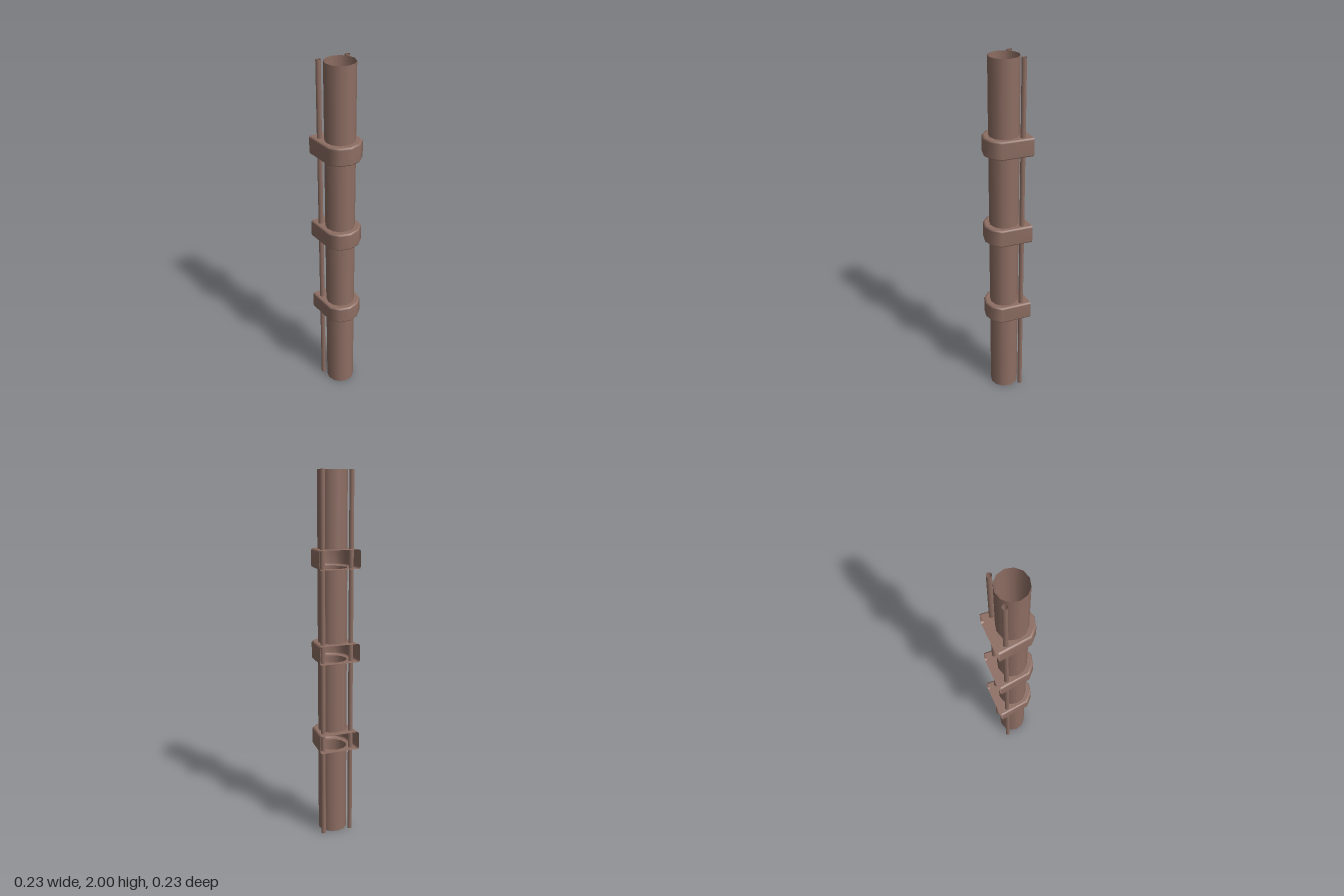
import * as THREE from 'three';

const material = new THREE.MeshStandardMaterial({ color: 0x8d6e63, side: THREE.DoubleSide });

function part(name, geometry, x = 0, y = 0, z = 0) {
  const mesh = new THREE.Mesh(geometry, material);
  mesh.name = name;
  mesh.position.set(x, y, z);
  return mesh;
}

// Open upright tube standing on y
function tube(name, radius, sides, x, y, z, height) {
  const geometry = new THREE.CylinderGeometry(radius, radius, height, sides, 1, true);
  return part(name, geometry, x, y + height / 2, z);
}

// U-shaped bracket outline in (x, z), pulled in by an inset
function outline(inset) {
  const r = 0.114 - inset;
  const pts = [[-r, -0.115]];
  for (let i = -2; i <= 2; i++) {
    const a = i * Math.PI / 6;
    pts.push([Math.sin(a) * r, Math.cos(a) * r]);
  }
  pts.push([r, -0.115]);
  return pts;
}

// Thin wall with softened upper and lower rims, open at the back
function wallGeometry(height, bevel) {
  const levels = [[0, bevel], [bevel * 0.3, bevel * 0.3], [bevel, 0],
    [height - bevel, 0], [height - bevel * 0.3, bevel * 0.3], [height, bevel]];
  const positions = [], index = [];
  for (const [y, inset] of levels) {
    for (const [x, z] of outline(inset)) positions.push(x, y, z);
  }
  const n = 7;
  for (let l = 0; l < levels.length - 1; l++) {
    for (let i = 0; i < n - 1; i++) {
      const a = l * n + i, b = a + 1, c = a + n, d = c + 1;
      index.push(a, b, d, a, d, c);
    }
  }
  const geometry = new THREE.BufferGeometry();
  geometry.setAttribute('position', new THREE.Float32BufferAttribute(positions, 3));
  geometry.setIndex(index);
  geometry.computeVertexNormals();
  return geometry;
}

// Flat plate with a twelve-sided hole for the pipe
function plateGeometry(bevel, facing) {
  const shape = new THREE.Shape(outline(bevel).map(([x, z]) => new THREE.Vector2(x, -facing * z)));
  const hole = [];
  for (let i = 0; i < 12; i++) {
    const a = i * Math.PI / 6;
    hole.push(new THREE.Vector2(Math.sin(a) * 0.08, Math.cos(a) * 0.08));
  }
  shape.holes.push(new THREE.Path(hole));
  return new THREE.ShapeGeometry(shape).rotateX(-facing * Math.PI / 2);
}

export function createModel() {
  const model = new THREE.Group();
  model.name = 'bracketedPipe';

  // Pipe lengths, interrupted inside the brackets
  for (const [y, height] of [[0, 0.5], [0.6, 0.4], [1.1, 0.4], [1.6, 0.4]]) {
    model.add(tube('pipeSection', 0.08, 12, 0, y, 0, height));
  }

  // Two slim rods along the back
  for (const side of [-1, 1]) {
    model.add(tube(side > 0 ? 'leftRod' : 'rightRod', 0.0135, 8, side * 0.08, 0, -0.068, 2));
  }

  // Three hollow brackets
  const height = 0.1, bevel = 0.01;
  for (const y of [0.5, 1, 1.5]) {
    const bracket = new THREE.Group();
    bracket.name = 'bracket';
    bracket.position.y = y;
    bracket.add(
      part('bracketWall', wallGeometry(height, bevel)),
      part('bracketTopPlate', plateGeometry(bevel, 1), 0, height),
      part('bracketBottomPlate', plateGeometry(bevel, -1)),
    );
    model.add(bracket);
  }
  return model;
}
